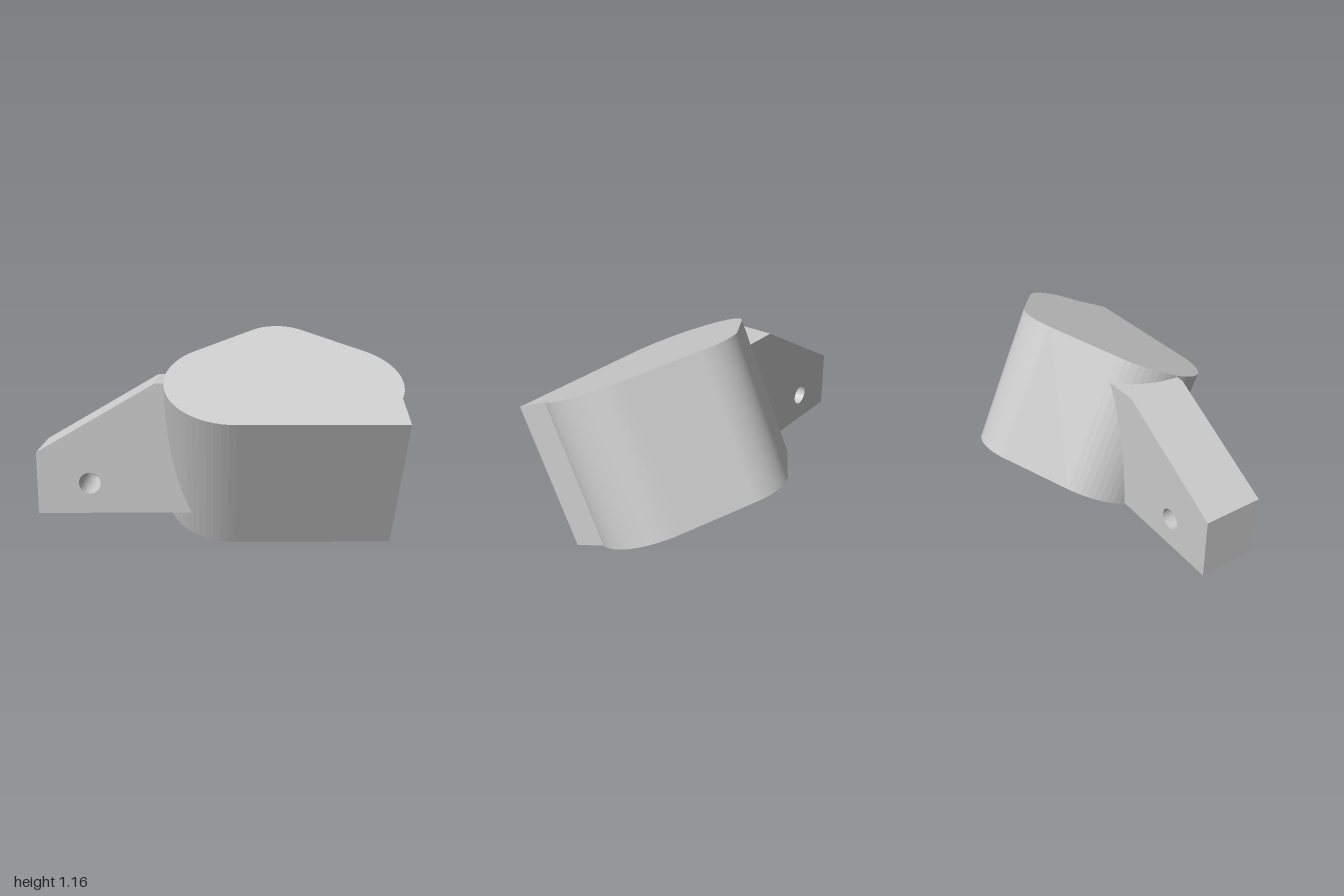
import * as THREE from 'three';

const material = () => new THREE.MeshStandardMaterial({ color: 0xcccccc, flatShading: true });

function extrude(name, shape, depth) {
  const geometry = new THREE.ExtrudeGeometry(shape, { depth, bevelEnabled: false, curveSegments: 12 });
  const mesh = new THREE.Mesh(geometry, material());
  mesh.name = name;
  return mesh;
}

// Rounded three-lobed block with one squared front corner, leaning forward
function createBody() {
  const r = 0.388, tipR = 0.25, midX = 0.355, lobeX = 0.26, cornerX = 0.97;
  const tangent = THREE.MathUtils.degToRad(54.4);
  const start = -Math.acos((cornerX - midX - lobeX) / r);
  const shape = new THREE.Shape();
  shape.moveTo(midX - lobeX, 0);
  shape.lineTo(cornerX, 0);
  shape.absarc(midX + lobeX, r, r, start, tangent, false);
  shape.absarc(midX, 0.742, tipR, tangent, Math.PI - tangent, false);
  shape.absarc(midX - lobeX, r, r, Math.PI - tangent, Math.PI * 1.5, false);
  const body = extrude('body', shape, 0.824);
  body.rotation.x = THREE.MathUtils.degToRad(-65.5);
  body.position.z = 0.284;
  return body;
}

// Upright tapered mounting arm with a through hole, running into the body
function createArm() {
  const shape = new THREE.Shape([
    [-1, 0.17], [-0.1, 0.17], [-0.1, 0.903], [-0.34, 0.903], [-1, 0.52],
  ].map(([x, y]) => new THREE.Vector2(x, y)));
  const hole = new THREE.Path();
  hole.absarc(-0.71, 0.343, 0.06, 0, Math.PI * 2, true);
  shape.holes.push(hole);
  const arm = extrude('mountingArm', shape, 0.34);
  arm.position.z = -0.07;
  return arm;
}

export function createModel() {
  const model = new THREE.Group();
  model.name = 'angledBracket';
  model.add(createBody(), createArm());
  return model;
}
